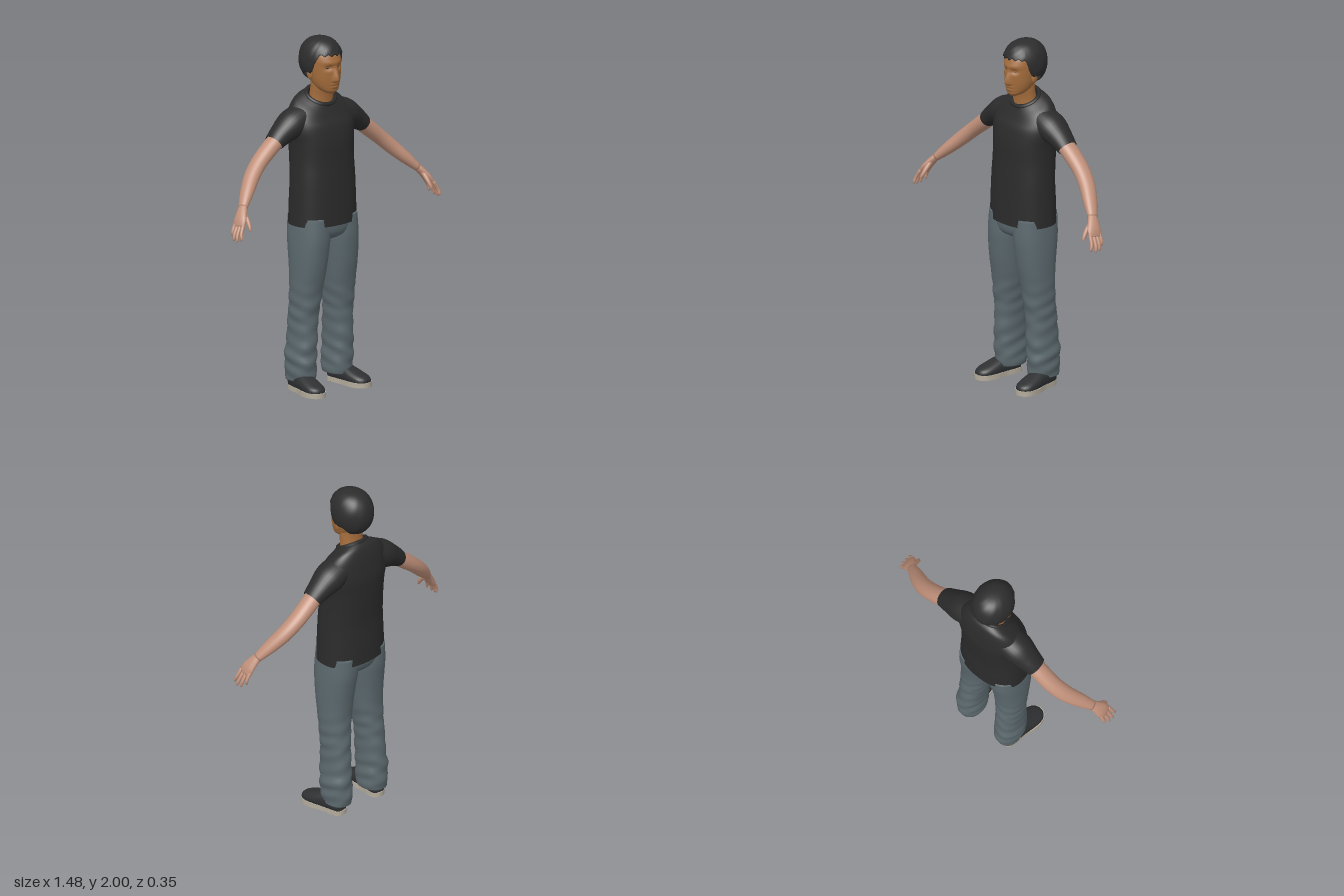
import * as THREE from 'three';

const paint = (name, color, double) => {
  const m = new THREE.MeshStandardMaterial({ color });
  m.name = name;
  if (double) m.side = THREE.DoubleSide;
  return m;
};
const X = new THREE.Vector3(1, 0, 0), Y = new THREE.Vector3(0, 1, 0), Z = new THREE.Vector3(0, 0, 1);
const bell = (d, w) => Math.exp(-(d / w) * (d / w));
const smooth = THREE.MathUtils.smoothstep;

// Smooth interpolation between cross-section rows [x, y, z, ru, rv]
function sampleRows(rows, t) {
  const f = t * (rows.length - 1), i = Math.min(Math.floor(f), rows.length - 2), u = f - i;
  const [a, b, c, d] = [-1, 0, 1, 2].map(k => rows[THREE.MathUtils.clamp(i + k, 0, rows.length - 1)]);
  return b.map((_, k) => b[k] + 0.5 * u * (c[k] - a[k]
    + u * (2 * a[k] - 5 * b[k] + 4 * c[k] - d[k] + u * (3 * (b[k] - c[k]) + d[k] - a[k]))));
}

// Skin of rounded sections; axis fixes the section plane, otherwise it follows the path
function loft(rows, { axis, up = Z, n = 28, steps = 24, power = 2, caps = true, tweak } = {}) {
  const pos = [], index = [], v = new THREE.Vector3();
  const spread = c => Math.sign(c) * Math.pow(Math.abs(c), 2 / power);
  for (let i = 0; i <= steps; i++) {
    const t = i / steps, [x, y, z, ru, rv] = sampleRows(rows, t);
    const p = sampleRows(rows, Math.max(0, t - 0.02)), q = sampleRows(rows, Math.min(1, t + 0.02));
    const T = axis ? axis.clone() : new THREE.Vector3(q[0] - p[0], q[1] - p[1], q[2] - p[2]).normalize();
    const V = up.clone().addScaledVector(T, -up.dot(T)).normalize();
    const U = T.clone().cross(V);
    for (let j = 0; j < n; j++) {
      const a = j / n * Math.PI * 2;
      v.set(x, y, z).addScaledVector(U, ru * spread(Math.cos(a))).addScaledVector(V, rv * spread(Math.sin(a)));
      if (tweak) tweak(v);
      pos.push(v.x, v.y, v.z);
      if (i < steps) {
        const A = i * n + j, B = i * n + (j + 1) % n;
        index.push(A, A + n, B, B, A + n, B + n);
      }
    }
  }
  if (caps) for (const end of [0, steps]) {
    const c = pos.length / 3, s = end * n;
    const mid = [0, 1, 2].map(k => {
      let sum = 0;
      for (let j = 0; j < n; j++) sum += pos[(s + j) * 3 + k];
      return sum / n;
    });
    pos.push(...mid);
    for (let j = 0; j < n; j++) {
      const a = s + j, b = s + (j + 1) % n;
      index.push(c, ...(end ? [b, a] : [a, b]));
    }
  }
  const g = new THREE.BufferGeometry();
  g.setAttribute('position', new THREE.Float32BufferAttribute(pos, 3));
  g.setIndex(index);
  g.computeVertexNormals();
  return g;
}

// Copy of a geometry for the other side of the body
function mirrored(geo) {
  const g = geo.index ? geo.toNonIndexed() : geo.clone();
  for (const key of Object.keys(g.attributes)) {
    const a = g.attributes[key], old = a.clone();
    for (let i = 0; i < a.count; i++) {
      const src = i - i % 3 + [0, 2, 1][i % 3];
      for (let k = 0; k < a.itemSize; k++) {
        const val = old.array[src * a.itemSize + k];
        a.array[i * a.itemSize + k] = k === 0 && key !== 'uv' ? -val : val;
      }
    }
  }
  return g;
}

// Hair cap: a sphere whose lower edge follows the hairline
function hairGeometry() {
  const cols = 72, g = new THREE.SphereGeometry(1, cols, 24), p = g.attributes.position;
  for (let i = 0; i < p.count; i++) {
    const col = i % (cols + 1), row = Math.floor(i / (cols + 1));
    const a = (col % cols) / cols * Math.PI * 2;
    const off = Math.abs(a > Math.PI ? a - 2 * Math.PI : a);
    let edge = 69 + 49 * smooth(off, 0.85, 1.35) + 40 * smooth(off, 1.75, 2.5);
    edge += 3 * Math.sin(a * 18) * (1 - smooth(off, 1, 1.4));
    const phi = Math.min(row / 23, 1) * edge * Math.PI / 180;
    const r = Math.pow(Math.sin(phi), 0.8) * (row === 24 ? 0.86 : 1) * (1 + 0.008 * Math.sin(a * 9 + row * 0.6));
    const c = Math.cos(a);
    p.setXYZ(i, 0.114 * r * Math.sin(a), 1.87 + 0.129 * Math.cos(phi), -0.035 + (c > 0 ? 0.138 : 0.131) * r * c);
  }
  // sphere columns run the other way round, so keep the faces outward
  g.computeVertexNormals();
  return g;
}

export function createModel() {
  const model = new THREE.Group();
  model.name = 'standingMan';
  const hairMat = paint('hairBlack', 0x2d2d2d, true), shirtMat = paint('shirtBlack', 0x2b2b2c, true);
  const trouserMat = paint('trouserGrey', 0x5c696e, true), faceMat = paint('faceSkin', 0xa36c3c);
  const armMat = paint('armSkin', 0xc0907a), shoeMat = paint('shoeBlack', 0x2f3032);
  const soleMat = paint('soleCream', 0xb4ac9c);
  const add = (name, geo, mat) => {
    const m = new THREE.Mesh(geo, mat);
    m.name = name;
    model.add(m);
  };
  const addPair = (name, geo, mat) => {
    add(name + 'Left', geo, mat);
    add(name + 'Right', mirrored(geo), mat);
  };

  // Shirt: body with a neckline that drops to the front, sleeves and collar
  const drop = v => { v.y -= 0.54 * (v.z + 0.035) * smooth(v.y, 1.5, 1.66); };
  add('shirtBody', loft([
    [0, 0.955, -0.02, 0.204, 0.148], [0, 1.08, -0.02, 0.2, 0.145], [0, 1.2, -0.02, 0.196, 0.14],
    [0, 1.32, -0.027, 0.192, 0.14], [0, 1.42, -0.032, 0.196, 0.141], [0, 1.5, -0.04, 0.208, 0.135],
    [0, 1.57, -0.044, 0.2, 0.118], [0, 1.62, -0.042, 0.165, 0.1], [0, 1.65, -0.038, 0.118, 0.082],
    [0, 1.668, -0.035, 0.084, 0.068],
  ], { axis: Y, n: 48, steps: 45, power: 2.3, caps: false, tweak: drop }), shirtMat);
  const collar = [];
  for (let i = 0; i < 24; i++) {
    const a = i / 24 * Math.PI * 2, z = 0.07 * Math.sin(a);
    collar.push(new THREE.Vector3(0.084 * Math.cos(a), 1.664 - 0.54 * z, -0.035 + z));
  }
  add('collar', new THREE.TubeGeometry(new THREE.CatmullRomCurve3(collar, true), 48, 0.012, 8, true), shirtMat);
  addPair('sleeve', loft([
    [0.1, 1.57, -0.058, 0.07, 0.085], [0.19, 1.527, -0.058, 0.08, 0.09],
    [0.265, 1.483, -0.058, 0.063, 0.073], [0.322, 1.443, -0.056, 0.048, 0.06],
  ], { caps: false }), shirtMat);

  // Arms and hands
  addPair('arm', loft([
    [0.29, 1.465, -0.056, 0.045, 0.052], [0.36, 1.41, -0.058, 0.045, 0.052], [0.44, 1.345, -0.052, 0.042, 0.05],
    [0.51, 1.28, -0.03, 0.04, 0.047], [0.58, 1.21, 0.01, 0.033, 0.04], [0.638, 1.15, 0.046, 0.021, 0.028],
  ]), armMat);
  addPair('palm', loft([
    [0.63, 1.16, 0.041, 0.02, 0.026], [0.657, 1.128, 0.058, 0.02, 0.035],
    [0.682, 1.092, 0.073, 0.018, 0.044], [0.698, 1.06, 0.08, 0.012, 0.042],
  ], { n: 20, steps: 12 }), armMat);
  const tips = [[0.715, 1.005], [0.729, 0.987], [0.731, 0.985], [0.722, 0.995]];
  tips.forEach(([tx, ty], k) => {
    const z = 0.048 + 0.022 * k, tz = 0.05 + 0.028 * k;
    addPair('finger' + (k + 1), loft([
      [0.692, 1.075, z, 0.01, 0.011], [(0.7 + tx) / 2 + 0.006, (1.065 + ty) / 2, (z + tz) / 2, 0.0095, 0.01],
      [tx, ty + 0.01, tz, 0.008, 0.008], [tx, ty, tz, 0.003, 0.003],
    ], { n: 10, steps: 9 }), armMat);
  });
  addPair('thumb', loft([
    [0.652, 1.125, 0.075, 0.015, 0.014], [0.655, 1.09, 0.108, 0.013, 0.013],
    [0.66, 1.058, 0.13, 0.01, 0.01], [0.665, 1.04, 0.139, 0.004, 0.004],
  ], { n: 10, steps: 9, up: X }), armMat);

  // Head: nose, eye sockets, brow, lips and chin pushed out of the front
  const face = v => {
    if (v.z < 0.02) return;
    const nose = 0.028 * bell(v.x, 0.009 + 0.008 * smooth(1.85 - v.y, 0, 0.08)) * smooth(1.865 - v.y, 0, 0.085) * smooth(v.y, 1.757, 1.773);
    const sockets = 0.013 * bell(Math.abs(v.x) - 0.037, 0.02) * bell(v.y - 1.845, 0.014);
    const brow = 0.004 * bell(v.y - 1.873, 0.012) * bell(v.x, 0.07);
    const lips = bell(v.x, 0.026) * (0.008 * bell(v.y - 1.752, 0.007) + 0.007 * bell(v.y - 1.734, 0.007));
    v.z += nose - sockets + brow + lips;
  };
  add('head', loft([
    [0, 1.695, 0.045, 0.022, 0.026], [0, 1.71, 0.032, 0.048, 0.052], [0, 1.735, 0.013, 0.068, 0.073],
    [0, 1.77, 0.002, 0.08, 0.088], [0, 1.81, -0.012, 0.087, 0.105], [0, 1.85, -0.022, 0.091, 0.116],
    [0, 1.89, -0.026, 0.091, 0.116], [0, 1.925, -0.032, 0.084, 0.104], [0, 1.955, -0.035, 0.06, 0.075], [0, 1.975, -0.035, 0.02, 0.025],
  ], { axis: Y, n: 72, steps: 72, power: 2.1, tweak: face }), faceMat);
  add('neck', loft([
    [0, 1.62, -0.037, 0.076, 0.062], [0, 1.68, -0.03, 0.07, 0.056], [0, 1.73, -0.022, 0.068, 0.058], [0, 1.77, -0.02, 0.066, 0.06],
  ], { axis: Y }), faceMat);
  addPair('ear', new THREE.SphereGeometry(1, 14, 12).scale(0.012, 0.033, 0.02).rotateX(-0.2).translate(0.093, 1.805, -0.02), faceMat);
  addPair('eyeSlit', new THREE.SphereGeometry(1, 12, 8).scale(0.015, 0.0022, 0.004).rotateY(0.3).translate(0.037, 1.843, 0.071), hairMat);
  add('hair', hairGeometry(), hairMat);

  // Trousers: hips and two loose legs with soft folds at knee and hem
  add('trouserHips', loft([
    [0, 0.86, -0.015, 0.06, 0.06], [0, 0.89, -0.015, 0.14, 0.115], [0, 0.94, -0.018, 0.188, 0.136], [0, 1.02, -0.02, 0.19, 0.136],
  ], { axis: Y, n: 36, power: 2.3 }), trouserMat);
  const folds = v => {
    const amount = 0.004 * (bell(v.y - 0.45, 0.12) + 1.3 * bell(v.y - 0.17, 0.1));
    v.x += amount * Math.sin(v.y * 75 + v.z * 22);
    v.z += amount * Math.sin(v.y * 58 + v.x * 30);
  };
  addPair('trouserLeg', loft([
    [0.132, 0.065, -0.052, 0.07, 0.09], [0.131, 0.11, -0.05, 0.074, 0.098], [0.135, 0.2, -0.048, 0.074, 0.1],
    [0.13, 0.29, -0.042, 0.07, 0.099], [0.127, 0.4, -0.038, 0.073, 0.093], [0.123, 0.5, -0.028, 0.078, 0.094],
    [0.117, 0.6, -0.02, 0.087, 0.098], [0.112, 0.7, -0.014, 0.093, 0.111], [0.107, 0.8, -0.014, 0.099, 0.124],
    [0.102, 0.89, -0.017, 0.101, 0.134], [0.1, 1.0, -0.02, 0.095, 0.132],
  ], { axis: Y, n: 36, steps: 60, power: 2.2, tweak: folds }), trouserMat);

  // Shoes: dark upper, cream sole and dark tread plates, toes turned out
  const place = g => g.rotateY(0.13).translate(0.152, 0, 0);
  addPair('shoeUpper', place(loft([
    [0, 0.04, -0.113, 0.02, 0.02], [0, 0.055, -0.098, 0.042, 0.045], [0, 0.062, -0.05, 0.05, 0.055],
    [0, 0.058, 0.01, 0.053, 0.052], [0, 0.048, 0.07, 0.058, 0.042], [0, 0.038, 0.125, 0.054, 0.033],
    [0, 0.034, 0.155, 0.036, 0.024], [0, 0.032, 0.167, 0.015, 0.012],
  ], { axis: Z, up: Y, power: 2.3 })), shoeMat);
  const flat = (pts, depth, y) => {
    const shape = new THREE.Shape();
    const all = [...pts, ...pts.slice(1, -1).reverse().map(([x, z]) => [-x, z])];
    shape.setFromPoints(new THREE.CatmullRomCurve3(all.map(([x, z]) => new THREE.Vector3(x, -z, 0)), true).getPoints(48).slice(0, -1));
    return place(new THREE.ExtrudeGeometry(shape, { depth, bevelEnabled: false }).rotateX(-Math.PI / 2).translate(0, y, 0));
  };
  addPair('shoeSole', flat([[0, -0.12], [0.036, -0.105], [0.047, -0.06], [0.048, 0], [0.062, 0.075], [0.055, 0.135], [0.03, 0.165], [0, 0.174]], 0.028, 0.004), soleMat);
  addPair('heelTread', flat([[0, -0.108], [0.03, -0.095], [0.036, -0.06], [0, -0.035]], 0.005, 0), shoeMat);
  addPair('toeTread', flat([[0, 0.02], [0.038, 0.03], [0.05, 0.08], [0.042, 0.13], [0, 0.16]], 0.005, 0), shoeMat);
  return model;
}
